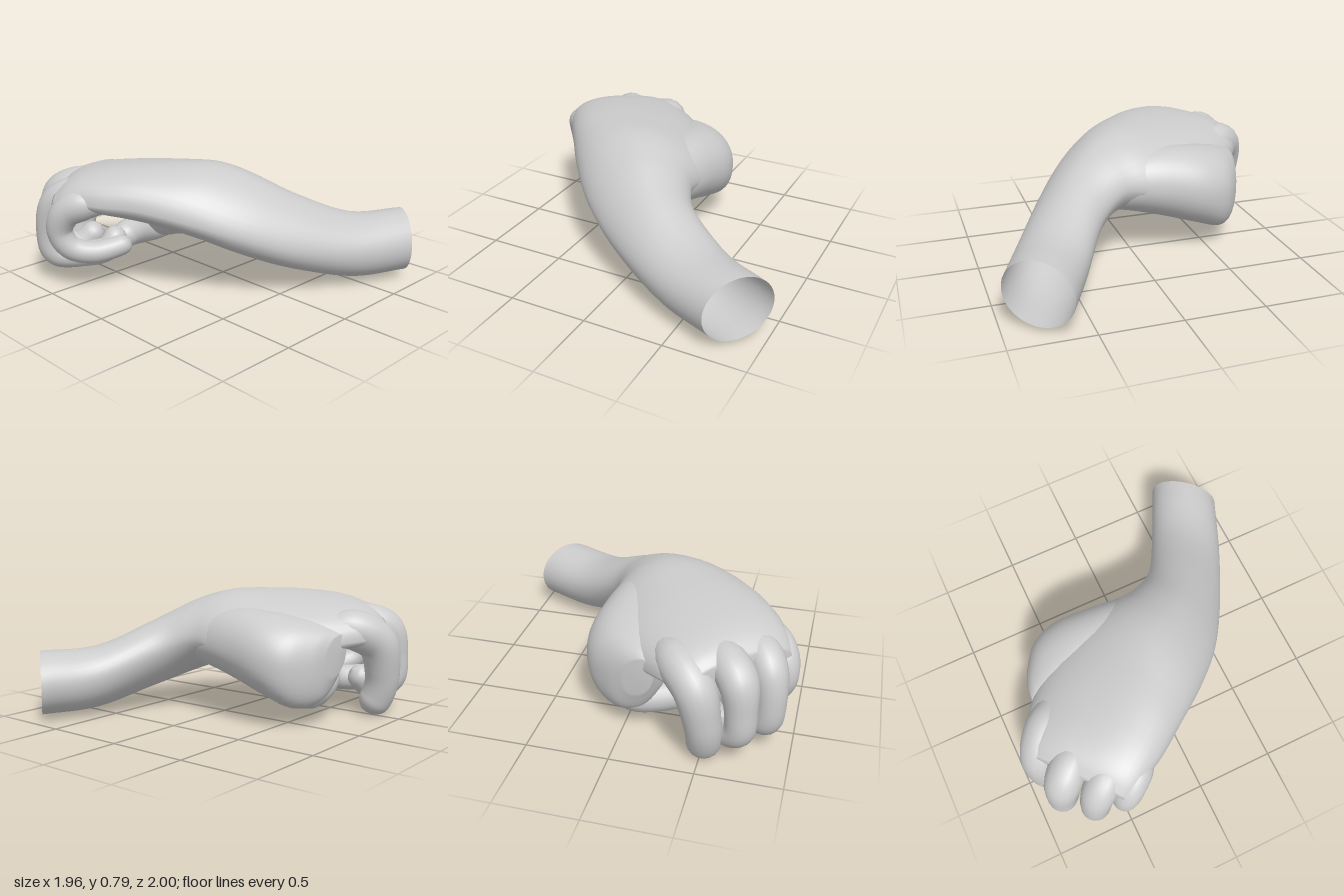
import * as THREE from 'three';
import { mergeVertices } from 'three/addons/utils/BufferGeometryUtils.js';

const skin = new THREE.MeshStandardMaterial({ color: 0xcccccc, side: THREE.DoubleSide });
const V = (x, y, z) => new THREE.Vector3(x, y, z);
const spline = (pts) => new THREE.CatmullRomCurve3(pts, false, 'catmullrom', 0.5);

function addMesh(group, name, geometry) {
  const mesh = new THREE.Mesh(geometry, skin);
  mesh.name = name;
  group.add(mesh);
}

// Smooth skin over oval sections: [left xyz, right xyz, top y, bottom y, roundness]
// roundness 1 is an ellipse, below 1 squarer, above 1 more ridged
function loft(sections, steps = 6, sides = 40) {
  const left = spline(sections.map((s) => V(s[0], s[1], s[2])));
  const right = spline(sections.map((s) => V(s[3], s[4], s[5])));
  const shape = spline(sections.map((s) => V(s[6], s[7], s[8])));
  const rings = (sections.length - 1) * steps;
  const pos = [], index = [];
  for (let i = 0; i <= rings; i++) {
    const t = i / rings;
    const L = left.getPoint(t), R = right.getPoint(t), h = shape.getPoint(t);
    const midY = (L.y + R.y) / 2;
    const soft = (v) => Math.sign(v) * Math.abs(v) ** h.z;
    for (let j = 0; j < sides; j++) {
      const a = (j / sides) * Math.PI * 2;
      const c = soft(Math.cos(a)), s = soft(Math.sin(a));
      const p = L.clone().lerp(R, (c + 1) / 2);
      p.y += s * (s > 0 ? h.x - midY : midY - h.y);
      pos.push(p.x, p.y, p.z);
      if (i < rings) {
        const k = (j + 1) % sides, n = i * sides, m = n + sides;
        index.push(n + j, n + k, m + j, n + k, m + k, m + j);
      }
    }
  }
  // close the far end
  const h = shape.getPoint(1);
  const c = left.getPoint(1).lerp(right.getPoint(1), 0.5);
  pos.push(c.x, (h.x + h.y) / 2, c.z);
  const n = rings * sides, tip = n + sides;
  for (let j = 0; j < sides; j++) index.push(n + j, n + ((j + 1) % sides), tip);

  const g = new THREE.BufferGeometry();
  g.setAttribute('position', new THREE.Float32BufferAttribute(pos, 3));
  g.setIndex(index);
  g.computeVertexNormals();
  return g;
}

// Tapered digit along points [x, y, z, radius] with a rounded tip
function digit(points, segments = 64, sides = 18) {
  const curve = spline(points.map((p) => V(p[0], p[1], p[2])));
  const radii = spline(points.map((p, i) => V(p[3], i, 0)));
  const capStart = 1 - points[points.length - 1][3] / curve.getLength();
  let g = new THREE.TubeGeometry(curve, segments, 1, sides, false);
  const pos = g.attributes.position, v = V(0, 0, 0);
  for (let i = 0; i <= segments; i++) {
    const u = i / segments;
    const centre = curve.getPointAt(u);
    let r = radii.getPoint(curve.getUtoTmapping(u)).x;
    if (u > capStart) r *= Math.sqrt(Math.max(0.0004, 1 - ((u - capStart) / (1 - capStart)) ** 2));
    for (let j = 0; j <= sides; j++) {
      const k = i * (sides + 1) + j;
      v.fromBufferAttribute(pos, k).sub(centre).multiplyScalar(r).add(centre);
      pos.setXYZ(k, v.x, v.y, v.z);
    }
  }
  g.deleteAttribute('uv');
  g.deleteAttribute('normal');
  g = mergeVertices(g, 1e-5);
  g.computeVertexNormals();
  return g;
}

export function createModel() {
  const hand = new THREE.Group();
  hand.name = 'hand';

  // Open forearm, wrist and back of the hand as one skin
  addMesh(hand, 'forearmAndPalm', loft([
    [0.62, 0.21, -1.0, 0.97, 0.21, -0.72, 0.41, 0.01, 1],
    [0.46, 0.24, -0.68, 0.82, 0.22, -0.36, 0.42, 0.02, 1],
    [0.28, 0.38, -0.37, 0.62, 0.3, 0.02, 0.57, 0.13, 1.08],
    [0.1, 0.48, -0.25, 0.42, 0.41, 0.31, 0.7, 0.23, 1.12],
    [-0.1, 0.46, -0.24, 0.2, 0.5, 0.52, 0.77, 0.31, 1.06],
    [-0.36, 0.43, -0.19, -0.03, 0.56, 0.69, 0.765, 0.36, 0.96],
    [-0.62, 0.45, -0.02, -0.2, 0.57, 0.81, 0.75, 0.41, 0.9],
    [-0.82, 0.49, 0.21, -0.33, 0.57, 0.88, 0.725, 0.45, 0.85],
    [-0.9, 0.5, 0.36, -0.43, 0.54, 0.93, 0.685, 0.46, 0.82],
    [-0.92, 0.51, 0.47, -0.52, 0.52, 0.95, 0.62, 0.48, 0.82],
  ]));

  // Thumb base and the web that joins it to the index side
  addMesh(hand, 'thumbBase', loft([
    [0.2, 0.46, -0.2, 0.22, 0.42, 0.02, 0.58, 0.33, 1],
    [0.0, 0.46, -0.235, 0.05, 0.42, 0.14, 0.65, 0.28, 1],
    [-0.2, 0.44, -0.265, -0.18, 0.42, 0.2, 0.68, 0.22, 1],
    [-0.43, 0.4, -0.285, -0.4, 0.42, 0.24, 0.66, 0.15, 0.95],
    [-0.6, 0.36, -0.235, -0.58, 0.42, 0.25, 0.62, 0.1, 0.9],
    [-0.71, 0.35, -0.1, -0.71, 0.43, 0.22, 0.57, 0.15, 0.9],
    [-0.76, 0.4, 0.02, -0.78, 0.47, 0.21, 0.53, 0.3, 0.9],
  ]));

  // Thumb and curled fingers
  const digits = {
    thumb: [
      [-0.58, 0.22, -0.06, 0.11], [-0.61, 0.19, 0.06, 0.11], [-0.6, 0.19, 0.18, 0.1],
      [-0.56, 0.21, 0.32, 0.095], [-0.51, 0.2, 0.46, 0.08],
    ],
    indexFinger: [
      [-0.62, 0.56, 0.22, 0.08], [-0.75, 0.55, 0.34, 0.125], [-0.855, 0.46, 0.46, 0.125],
      [-0.87, 0.27, 0.51, 0.11], [-0.84, 0.13, 0.52, 0.105], [-0.77, 0.0, 0.5, 0.1],
    ],
    middleFinger: [
      [-0.6, 0.58, 0.53, 0.08], [-0.7, 0.575, 0.6, 0.115], [-0.8, 0.51, 0.69, 0.115],
      [-0.835, 0.35, 0.72, 0.095], [-0.83, 0.2, 0.71, 0.09], [-0.75, 0.15, 0.6, 0.085],
      [-0.67, 0.27, 0.48, 0.075],
    ],
    ringFinger: [
      [-0.46, 0.58, 0.67, 0.08], [-0.55, 0.57, 0.77, 0.11], [-0.64, 0.5, 0.84, 0.105],
      [-0.68, 0.33, 0.865, 0.09], [-0.66, 0.18, 0.84, 0.09], [-0.55, 0.165, 0.72, 0.085],
      [-0.46, 0.19, 0.59, 0.08], [-0.44, 0.32, 0.5, 0.07],
    ],
    littleFinger: [
      [-0.28, 0.56, 0.7, 0.06], [-0.37, 0.56, 0.81, 0.1], [-0.46, 0.5, 0.89, 0.095],
      [-0.5, 0.38, 0.915, 0.08], [-0.46, 0.27, 0.87, 0.075], [-0.38, 0.23, 0.76, 0.07],
      [-0.31, 0.25, 0.62, 0.065], [-0.28, 0.28, 0.54, 0.055],
    ],
  };
  for (const [name, points] of Object.entries(digits)) addMesh(hand, name, digit(points));

  return hand;
}
